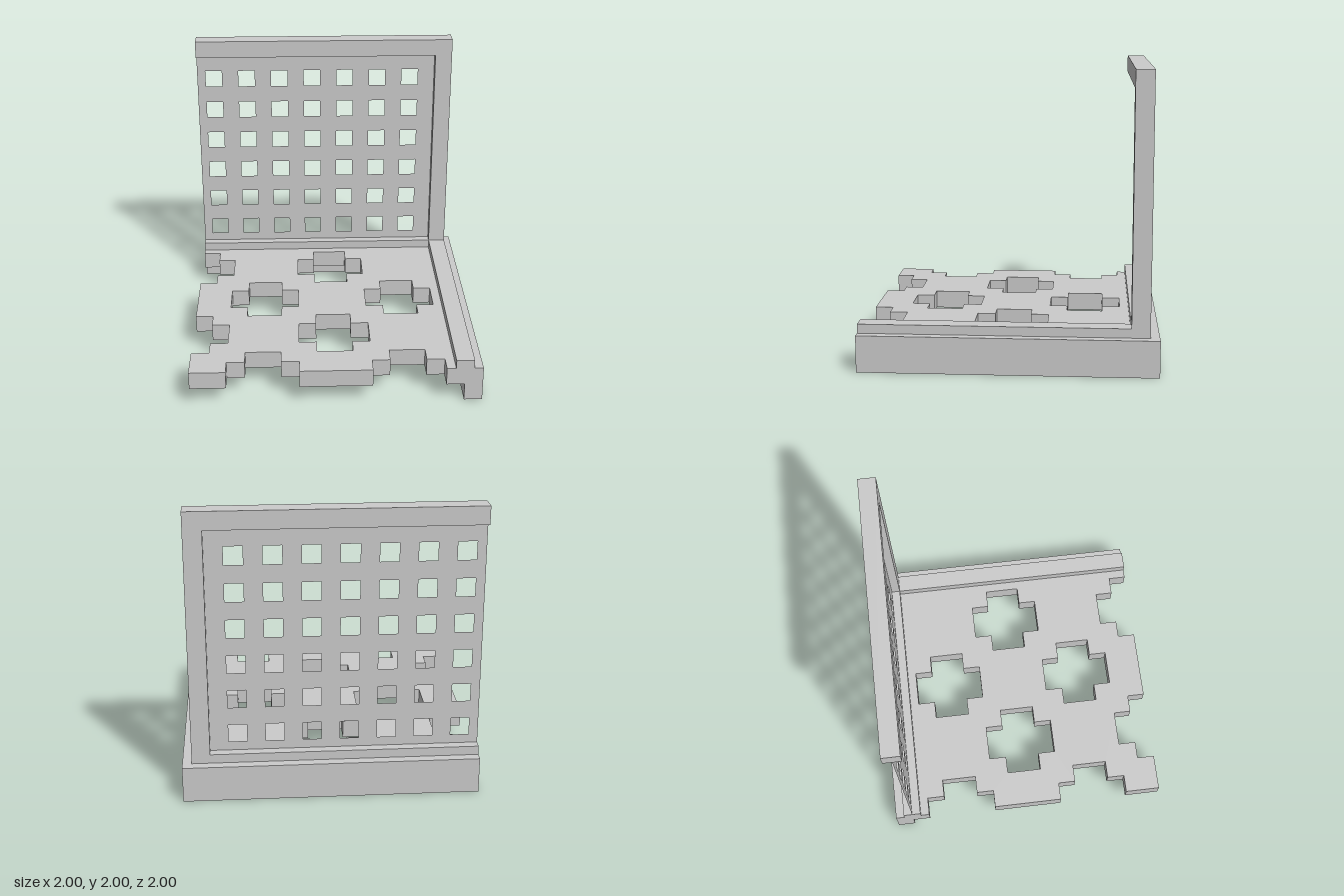
import * as THREE from 'three';

const material = new THREE.MeshStandardMaterial({ color: 0xcccccc, flatShading: true });
const panelMaterial = new THREE.MeshStandardMaterial({ color: 0xcccccc, side: THREE.DoubleSide });

const toShape = (pts) => new THREE.Shape(pts.map(([x, y]) => new THREE.Vector2(x, y)));

// Extrude a plan drawn in (x, z) so that it fills y0..y1
function slab(name, shape, y0, y1) {
  const geo = new THREE.ExtrudeGeometry(shape, { depth: y1 - y0, bevelEnabled: false });
  geo.rotateX(Math.PI / 2).translate(0, y1, 0);
  const mesh = new THREE.Mesh(geo, material);
  mesh.name = name;
  return mesh;
}

// L-shaped plan running along the back and the left side
const cornerPlan = (outer, inner) => toShape([
  [-1, -outer], [outer, -outer], [outer, 1], [inner, 1], [inner, -inner], [-1, -inner],
]);

// Half of a stepped cross, as [along, depth] pairs
const halfCross = [
  [0.25, 0], [0.25, 0.125], [0.125, 0.125], [0.125, 0.25],
  [-0.125, 0.25], [-0.125, 0.125], [-0.25, 0.125], [-0.25, 0],
];

// Floor plan with stepped cross openings, whole inside and halved at the edges
function floorPlan() {
  const pts = [[0.875, -0.875], [0.875, 1]];
  for (const cx of [0.5, -0.5]) for (const [a, d] of halfCross) pts.push([cx + a, 1 - d]);
  pts.push([-1, 1]);
  for (const cz of [0.5, -0.5]) for (const [a, d] of halfCross) pts.push([-1 + d, cz + a]);
  pts.push([-1, -0.875]);
  const shape = toShape(pts);
  const cross = [...halfCross, ...halfCross.map(([a, d]) => [-a, -d])];
  for (const [cx, cz] of [[0, -0.5], [0, 0.5], [-0.5, 0], [0.5, 0]]) {
    const ring = cross.filter(([, d]) => d !== 0);
    // the arm ends lie on straight edges, so the points at depth 0 are not needed
    shape.holes.push(toShape(ring.map(([a, d]) => [cx + a, cz + d])));
  }
  return shape;
}

export function createModel() {
  const group = new THREE.Group();
  group.name = 'latticeCorner';

  // Base: pierced floor, deep rim and low curb
  group.add(slab('floor', floorPlan(), 0.125, 0.25));
  group.add(slab('baseRim', cornerPlan(1, 0.875), 0, 0.25));
  group.add(slab('curb', cornerPlan(0.9375, 0.8125), 0.25, 0.3125));

  // Wall frame: corner post and top rail in one piece
  const frameShape = toShape([
    [0.8125, 0.3125], [0.9375, 0.3125], [0.9375, 2], [-1, 2], [-1, 1.875], [0.8125, 1.875],
  ]);
  const frameGeo = new THREE.ExtrudeGeometry(frameShape, { depth: 0.125, bevelEnabled: false });
  const frame = new THREE.Mesh(frameGeo.translate(0, 0, -0.9375), material);
  frame.name = 'wallFrame';
  group.add(frame);

  // Thin lattice sheet in the middle of the frame
  const sheet = toShape([[-1, 0.3125], [0.8125, 0.3125], [0.8125, 1.875], [-1, 1.875]]);
  for (let i = 0; i < 7; i++) {
    for (let j = 0; j < 6; j++) {
      const x = -0.9375 + i * 0.25, y = 0.375 + j * 0.25, s = 0.125;
      sheet.holes.push(toShape([[x, y], [x, y + s], [x + s, y + s], [x + s, y]]));
    }
  }
  const lattice = new THREE.Mesh(new THREE.ShapeGeometry(sheet), panelMaterial);
  lattice.position.z = -0.875;
  lattice.name = 'latticePanel';
  group.add(lattice);

  return group;
}
